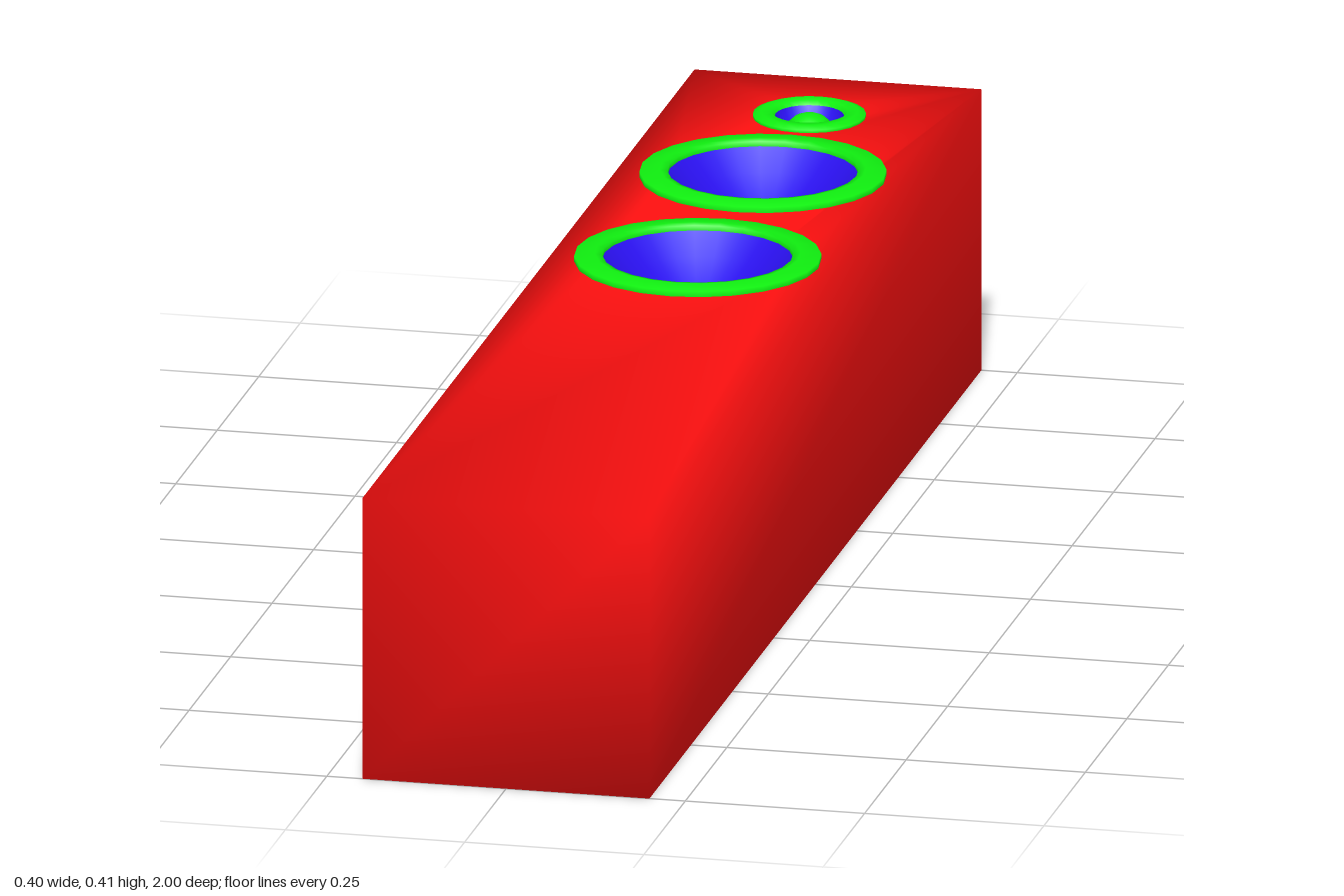
import * as THREE from 'three';
import { mergeGeometries, mergeVertices } from 'three/addons/utils/BufferGeometryUtils.js';

const W = 0.4, H = 0.4, L = 2;
const SEG = 24;
const mat = (color) => new THREE.MeshStandardMaterial({ color, side: THREE.DoubleSide });
const red = mat(0xff1010), green = mat(0x10ee10), blue = mat(0x2a10ee), cyan = mat(0x10d8e0);

// Drivers: z position, outer radius, and radial/height profiles (heights relative to the baffle)
const woofer = {
  hole: 0.13,
  ring: [[0.168, 0], [0.168, 0.008], [0.14, 0.011], [0.13, 0.009], [0.13, 0]],
  cone: [[0.13, 0.002], [0.1, -0.026], [0.065, -0.052], [0.034, -0.07]],
  cap: [[0.037, -0.068], [0.034, -0.054], [0.024, -0.044], [0.012, -0.039], [0, -0.038]],
};
const tweeter = {
  hole: 0.047,
  ring: [[0.077, 0], [0.077, 0.004], [0.066, 0.008], [0.052, 0.007], [0.047, 0]],
  cone: [[0.047, 0.001], [0.04, -0.012], [0.028, -0.018]],
  cap: [[0.031, -0.018], [0.028, -0.008], [0.02, -0.001], [0.01, 0.003], [0, 0.004]],
};
const drivers = [
  { name: 'lowerWoofer', z: -0.155, type: woofer },
  { name: 'upperWoofer', z: -0.548, type: woofer },
  { name: 'tweeter', z: -0.828, type: tweeter },
];

// Slot port in the rear panel
const port = { w: 0.35, d: 0.04, z: 0.945, depth: 0.15 };

function rect(w, h, cy = 0, Type = THREE.Shape) {
  const x = w / 2, y = h / 2;
  return new Type([[-x, cy - y], [x, cy - y], [x, cy + y], [-x, cy + y]]
    .map(([a, b]) => new THREE.Vector2(a, b)));
}

function cabinetGeometry() {
  // Baffle with driver cut-outs
  const baffle = rect(W, L);
  for (const { z, type } of drivers) {
    baffle.holes.push(new THREE.Path().absarc(0, -z, type.hole, 0, Math.PI * 2, true));
  }
  const top = new THREE.ShapeGeometry(baffle, SEG).rotateX(-Math.PI / 2).translate(0, H, 0);

  // Rear panel with port cut-out
  const rear = rect(W, L);
  rear.holes.push(rect(port.w, port.d, port.z, THREE.Path));
  const bottom = new THREE.ShapeGeometry(rear).rotateX(Math.PI / 2);

  // Four walls
  const walls = [0, 1, 2, 3].map((i) => new THREE.PlaneGeometry(i % 2 ? L : W, H)
    .translate(0, H / 2, i % 2 ? W / 2 : L / 2).rotateY(i * Math.PI / 2));

  // Corners share vertices, so the shading flows around the edges
  const parts = [top, bottom, ...walls];
  for (const g of parts) {
    g.deleteAttribute('uv');
    g.deleteAttribute('normal');
  }
  const geo = mergeVertices(mergeGeometries(parts), 1e-4);
  geo.computeVertexNormals();
  return geo;
}

function add(parent, name, geometry, material) {
  const mesh = new THREE.Mesh(geometry, material);
  mesh.name = name;
  parent.add(mesh);
  return mesh;
}

const lathe = (pts) => new THREE.LatheGeometry(pts.map(([r, y]) => new THREE.Vector2(r, y)), SEG);

export function createModel() {
  const model = new THREE.Group();
  model.name = 'floorSpeaker';
  add(model, 'cabinet', cabinetGeometry(), red);

  // Drivers: surround ring, cone and dust cap
  for (const { name, z, type } of drivers) {
    const driver = new THREE.Group();
    driver.name = name;
    driver.position.set(0, H, z);
    add(driver, 'surroundRing', lathe(type.ring), green);
    add(driver, 'cone', lathe(type.cone), blue);
    add(driver, 'dustCap', lathe(type.cap), green);
    model.add(driver);
  }

  // Port lining: four walls and an end panel, open at the rear
  const portGroup = new THREE.Group();
  portGroup.name = 'slotPort';
  portGroup.position.set(0, 0, port.z);
  const { w, d, depth } = port;
  for (const s of [-1, 1]) {
    add(portGroup, 'portLongWall', new THREE.PlaneGeometry(w, depth)
      .translate(0, depth / 2, s * d / 2), cyan);
    add(portGroup, 'portShortWall', new THREE.PlaneGeometry(d, depth)
      .rotateY(Math.PI / 2).translate(s * w / 2, depth / 2, 0), cyan);
  }
  add(portGroup, 'portEnd', new THREE.PlaneGeometry(w, d)
    .rotateX(Math.PI / 2).translate(0, depth, 0), cyan);
  model.add(portGroup);

  return model;
}
